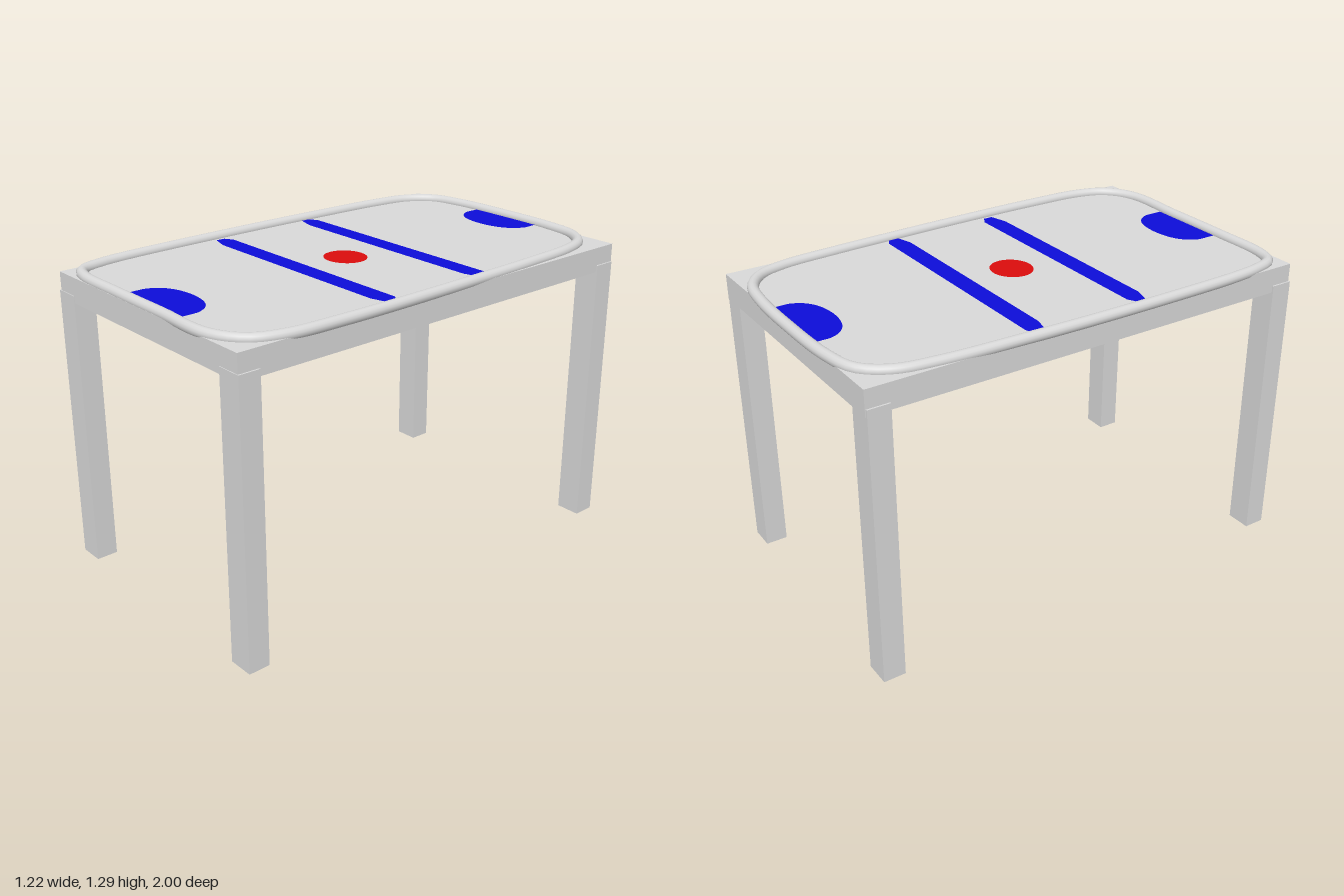
import * as THREE from 'three';

const grey = new THREE.MeshStandardMaterial({ color: 0xd8d8d8 });
grey.name = 'paleGrey';
const blue = new THREE.MeshStandardMaterial({ color: 0x0d0dd8 });
blue.name = 'blue';
const red = new THREE.MeshStandardMaterial({ color: 0xdb0d0d });
red.name = 'red';

const TOP = 1.267;

export function createModel() {
  const group = new THREE.Group();
  group.name = 'airHockeyTable';

  const add = (name, geometry, material) => {
    const mesh = new THREE.Mesh(geometry, material);
    mesh.name = name;
    group.add(mesh);
    return mesh;
  };

  // Box given by its minimum and maximum corners
  const box = (name, a, b) => {
    const mesh = add(name, new THREE.BoxGeometry(b[0] - a[0], b[1] - a[1], b[2] - a[2]), grey);
    mesh.position.set((a[0] + b[0]) / 2, (a[1] + b[1]) / 2, (a[2] + b[2]) / 2);
  };

  // Table slab and four legs, which stand slightly proud of its sides
  box('tableTop', [-0.593, 1.16, -0.975], [0.593, TOP, 0.997]);
  for (const [side, x] of [['Left', 0.49], ['Right', -0.6]]) {
    box('frontLeg' + side, [x, 0, 0.907], [x + 0.11, 1.19, 1]);
    box('backLeg' + side, [x, 0, -0.971], [x + 0.11, 1.19, -0.877]);
  }

  // Rounded rail, slightly uneven around the rink
  const railPoints = [
    [0, -0.977], [-0.3, -0.967], [-0.45, -0.93], [-0.53, -0.83], [-0.563, -0.65],
    [-0.58, -0.3], [-0.588, 0], [-0.588, 0.4], [-0.58, 0.7], [-0.565, 0.83],
    [-0.53, 0.93], [-0.45, 0.965], [-0.2, 0.973], [0.1, 0.974], [0.4, 0.972],
    [0.52, 0.9], [0.57, 0.78], [0.586, 0.5], [0.582, 0.1], [0.572, -0.2],
    [0.558, -0.5], [0.535, -0.75], [0.49, -0.87], [0.4, -0.94], [0.25, -0.968],
  ].map(([x, z]) => new THREE.Vector3(x, 1.272, z));
  const railCurve = new THREE.CatmullRomCurve3(railPoints, true);
  add('rail', new THREE.TubeGeometry(railCurve, 160, 0.023, 14, true), grey);

  // Painted markings lie just above the playing surface
  const paint = (name, shape, material, z, turn = 0) => {
    const geometry = new THREE.ShapeGeometry(shape, 16).rotateX(-Math.PI / 2).rotateY(turn);
    add(name, geometry, material).position.set(0, TOP + 0.002, z);
  };

  // Zone lines with tapered ends
  const stripe = (half) => new THREE.Shape([
    [-half, -0.02], [-half + 0.08, -0.042], [half - 0.08, -0.042], [half, -0.02],
    [half, 0.02], [half - 0.04, 0.042], [-half + 0.04, 0.042], [-half, 0.02],
  ].map(([x, y]) => new THREE.Vector2(x, y)));
  paint('backZoneLine', stripe(0.558), blue, -0.227);
  paint('frontZoneLine', stripe(0.547), blue, 0.253);

  // Centre spot
  const spot = new THREE.Shape();
  spot.absellipse(0, 0, 0.095, 0.088, 0, Math.PI * 2);
  paint('centreSpot', spot, red, 0.015);

  // Goal creases, rounded towards the middle of the rink
  const crease = new THREE.Shape();
  crease.moveTo(-0.18, 0);
  crease.lineTo(0.18, 0);
  crease.lineTo(0.18, 0.08);
  crease.bezierCurveTo(0.16, 0.15, 0.1, 0.182, 0, 0.184);
  crease.bezierCurveTo(-0.1, 0.182, -0.16, 0.15, -0.18, 0.08);
  crease.lineTo(-0.18, 0);
  paint('frontGoalCrease', crease, blue, 0.95);
  paint('backGoalCrease', crease, blue, -0.97, Math.PI);

  return group;
}
